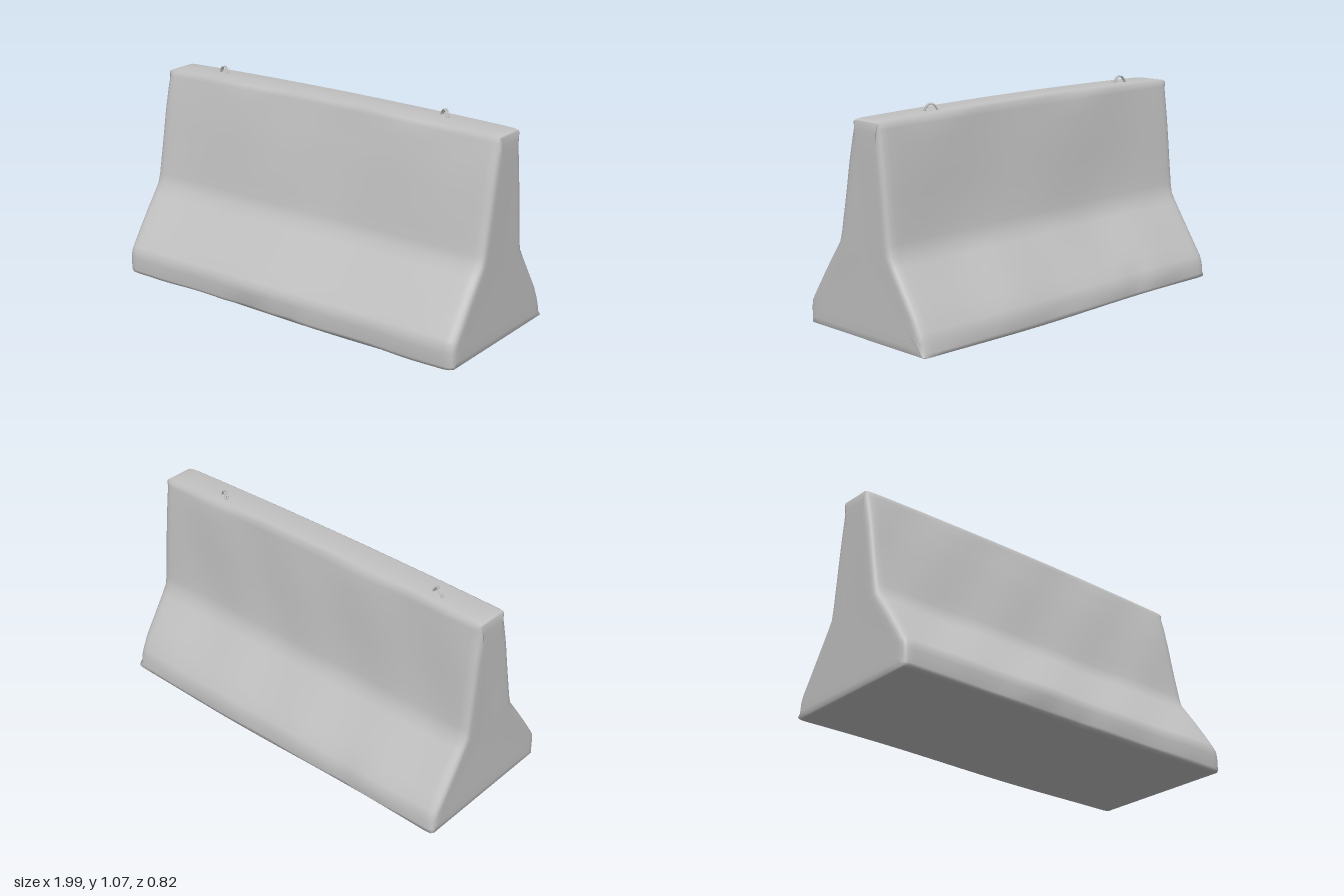
import * as THREE from 'three';

// Barrier cross-section as [z, y]: down the front, along the bottom, up the back
const PROFILE = [
  [0.045, 1.042], [0.058, 1.034], [0.066, 1.01], [0.11, 0.82], [0.158, 0.57], [0.17, 0.5], [0.183, 0.452],
  [0.215, 0.405], [0.385, 0.16], [0.399, 0.135], [0.405, 0.1], [0.405, 0.035], [0.4, 0.02], [0.385, 0.013],
  [-0.385, 0.009], [-0.4, 0.016], [-0.407, 0.035], [-0.4, 0.09], [-0.385, 0.13],
  [-0.21, 0.39], [-0.182, 0.435], [-0.172, 0.49], [-0.158, 0.62], [-0.14, 0.84], [-0.124, 1.0],
  [-0.118, 1.03], [-0.105, 1.043],
];

// Split long profile edges so that the faces can undulate
function refine(profile, step) {
  const out = [];
  profile.forEach((p, i) => {
    const q = profile[(i + 1) % profile.length];
    const n = Math.max(1, Math.ceil(Math.hypot(q[0] - p[0], q[1] - p[1]) / step));
    for (let k = 0; k < n; k++) out.push([p[0] + (q[0] - p[0]) * k / n, p[1] + (q[1] - p[1]) * k / n]);
  });
  return out;
}

// Gentle weathering: low waves over the faces, worn crest and chipped foot
const wave = (x, y, z) =>
  0.0035 * Math.sin(6.3 * x + 4 * y + 5 * z) + 0.0025 * Math.sin(13 * x - 7 * y + 9 * z + 1.3);
const dent = (x, centre, width) => Math.exp(-(((x - centre) / width) ** 2));

function barrierGeometry() {
  const ring = refine(PROFILE, 0.09);
  const n = ring.length;
  const normals = ring.map((p, j) => {
    const a = ring[(j + n - 1) % n], b = ring[(j + 1) % n];
    const dz = b[0] - a[0], dy = b[1] - a[1], l = Math.hypot(dz, dy);
    return [-dy / l, dz / l];
  });

  // Stations along the length: [x, inset, scale towards the end centre]
  const end = [[0.994, 0.024, 0], [0.995, 0.024, 0.4], [0.996, 0.024, 0.8], [0.996, 0.024, 0.93],
    [0.994, 0.022, 1], [0.986, 0.01, 1], [0.972, 0.003, 1], [0.945, 0, 1]];
  const stations = end.map(([x, i, s]) => [-x, i, s]);
  for (let k = 1; k < 32; k++) stations.push([-0.945 + 1.89 * k / 32, 0, 1]);
  stations.push(...[...end].reverse());

  const pos = [], index = [];
  stations.forEach(([x, inset, s], i) => {
    ring.forEach(([pz, py], j) => {
      const [nz, ny] = normals[j];
      let push = wave(x, py, pz) - inset;
      if (py < 0.06 && pz > 0.3) push -= 0.012 * dent(x, -0.2, 0.12) + 0.007 * dent(x, 0.05, 0.06);
      if (py < 0.14 && pz < -0.3) push -= 0.01 * dent(x, -0.45, 0.07) + 0.012 * (x > 0.5 ? (x - 0.5) * 2 : 0);
      if (py < 0.02) push = -inset * 0.4 + 0.004 * Math.sin(4 * x + 0.5);
      if (py > 1.02) push = -inset * 0.4;
      let z = pz + nz * push, y = py + ny * push;
      if (py > 1) y += 0.004 - 0.014 * x * x;
      z = -0.02 + (z + 0.02) * s;
      y = 0.4 + (y - 0.4) * s;
      pos.push(x, y, z);
      if (i < stations.length - 1) {
        const a = i * n + j, b = i * n + (j + 1) % n;
        if (i > 0) index.push(a, b, a + n);
        if (i === 0) index.push(b, b + n, a + n);
        else if (i < stations.length - 2) index.push(b, b + n, a + n);
      }
    });
  });
  const g = new THREE.BufferGeometry();
  g.setAttribute('position', new THREE.Float32BufferAttribute(pos, 3));
  g.setIndex(index);
  g.computeVertexNormals();
  // The fan centres share one point, so point their normals straight out
  const nor = g.attributes.normal;
  for (let j = 0; j < n; j++) {
    nor.setXYZ(j, -1, 0, 0);
    nor.setXYZ((stations.length - 1) * n + j, 1, 0, 0);
  }
  return g;
}

// Lifting loop: two thin bent wires side by side
function liftingLoop(material, x, z, angle) {
  const loop = new THREE.Group();
  loop.name = 'liftingLoop';
  for (const side of [-1, 1]) {
    const curve = new THREE.CatmullRomCurve3([
      [-0.035, -0.01], [-0.026, 0.018], [-0.009, 0.036], [0.009, 0.036], [0.026, 0.018], [0.035, -0.01],
    ].map(([u, v]) => new THREE.Vector3(u, v, side * 0.005)));
    const wire = new THREE.Mesh(new THREE.TubeGeometry(curve, 16, 0.0045, 6), material);
    wire.name = 'loopWire';
    loop.add(wire);
  }
  loop.position.set(x, 1.034, z);
  loop.rotation.y = angle;
  return loop;
}

export function createModel() {
  const model = new THREE.Group();
  model.name = 'concreteBarrier';
  const concrete = new THREE.MeshStandardMaterial({ color: 0xc2c2c2 });
  concrete.name = 'concrete grey';

  const body = new THREE.Mesh(barrierGeometry(), concrete);
  body.name = 'barrierBody';
  model.add(body);

  model.add(liftingLoop(concrete, -0.7, -0.045, -0.28));
  model.add(liftingLoop(concrete, 0.63, -0.058, -0.5));
  return model;
}
